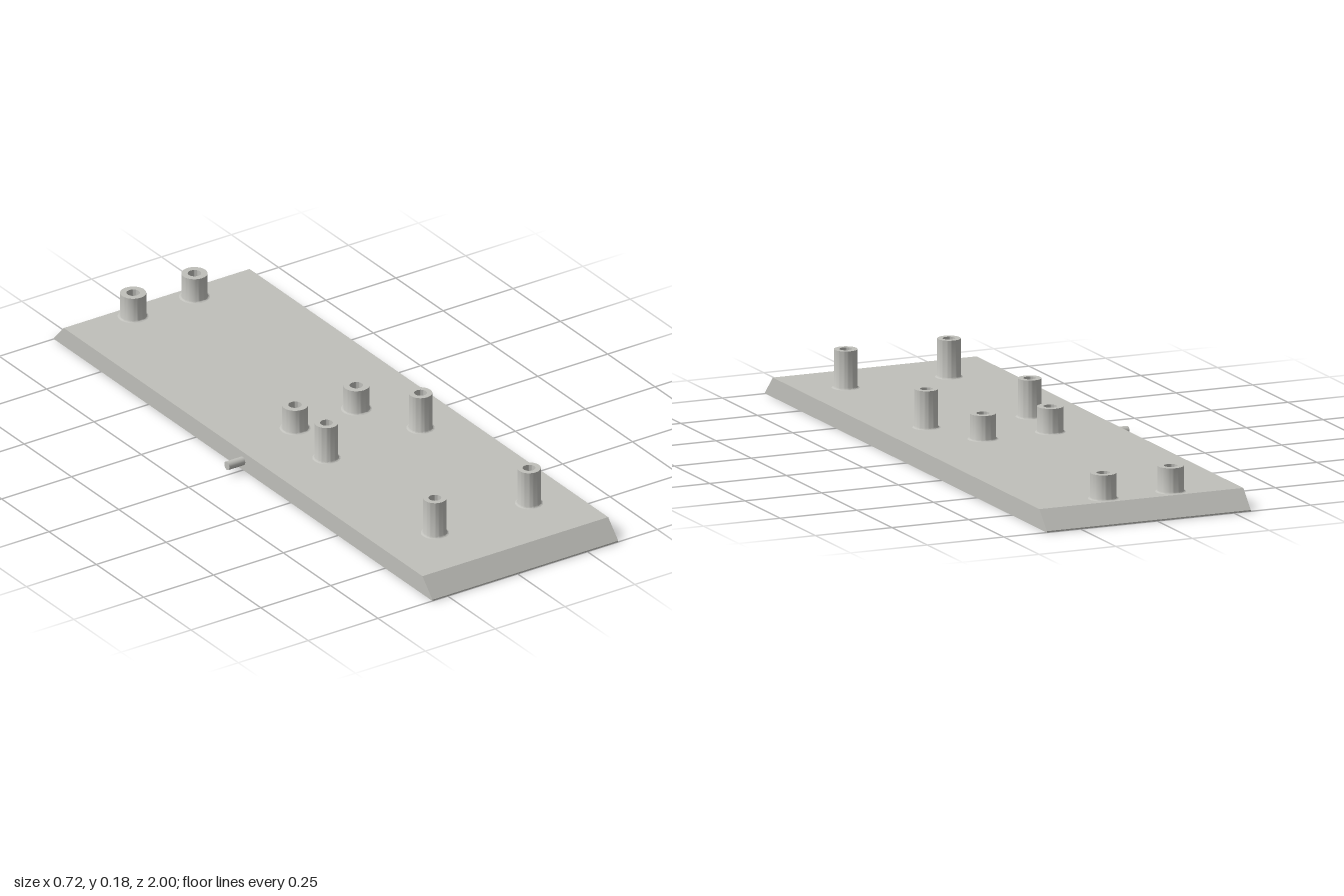
import * as THREE from 'three';
import { toCreasedNormals } from 'three/addons/utils/BufferGeometryUtils.js';

const LEFT = 0.36, RIGHT = -0.305, WIDTH = LEFT - RIGHT, MID = (LEFT + RIGHT) / 2;
const LIP = 0.004, TOP = 0.06, BEVEL_TOP = 0.947;
const HOLE_R = 0.01, HOLE_DEPTH = 0.02;

const lathe = (points, segments) => toCreasedNormals(
  new THREE.LatheGeometry(points.map(([x, y]) => new THREE.Vector2(x, y)), segments), 0.7);

// Hollow boss with a small fillet where it meets the plate
function bossGeometry(radius, bore, height) {
  const f = 0.007, points = [];
  for (let i = 0; i <= 4; i++) {
    const a = (i / 4) * Math.PI / 2;
    points.push([radius + f * (1 - Math.sin(a)), f * (1 - Math.cos(a))]);
  }
  points.push([radius, height], [bore, height], [bore, 0.001], [0, 0.001]);
  return lathe(points, 40);
}

export function createModel() {
  const group = new THREE.Group();
  const grey = new THREE.MeshStandardMaterial({ color: 0xc0c0bb });
  grey.name = 'warm grey';

  const add = (name, geometry, x = 0, y = 0, z = 0) => {
    const mesh = new THREE.Mesh(geometry, grey);
    mesh.name = name;
    mesh.position.set(x, y, z);
    group.add(mesh);
    return mesh;
  };

  // Plate body: box with both ends sloped, open below
  const body = new THREE.BoxGeometry(WIDTH, TOP - LIP, 2);
  const pos = body.attributes.position;
  for (let i = 0; i < pos.count; i++) {
    if (pos.getY(i) > 0) pos.setZ(i, Math.sign(pos.getZ(i)) * BEVEL_TOP);
  }
  const index = Array.from(body.index.array);
  index.splice(18, 6);
  body.setIndex(index);
  body.clearGroups();
  body.computeVertexNormals();
  add('plateBody', body, MID, (TOP + LIP) / 2, 0);

  // Thin bottom lip pierced by three screw holes at each end
  const holes = [];
  for (const z of [-0.96, 0.96]) {
    for (const dx of [-0.166, 0, 0.166]) holes.push([MID + dx, z]);
  }
  const outline = new THREE.Shape([
    new THREE.Vector2(RIGHT, -1), new THREE.Vector2(LEFT, -1),
    new THREE.Vector2(LEFT, 1), new THREE.Vector2(RIGHT, 1),
  ]);
  for (const [x, z] of holes) {
    outline.holes.push(new THREE.Path().absarc(x, -z, HOLE_R, 0, Math.PI * 2, true));
  }
  const lip = new THREE.ExtrudeGeometry(outline, { depth: LIP, bevelEnabled: false, curveSegments: 24 });
  lip.rotateX(-Math.PI / 2);
  add('bottomLip', lip);

  // Blind walls of the screw holes
  const sleeve = lathe([[0, HOLE_DEPTH], [HOLE_R, HOLE_DEPTH], [HOLE_R, LIP]], 24);
  for (const [x, z] of holes) add('screwHole', sleeve, x, 0, z);

  // Four tall narrow bosses at the front, four short wide ones at the back
  const tall = bossGeometry(0.035, 0.019, 0.117);
  for (const z of [0.167, 0.74]) {
    for (const x of [-0.12, 0.217]) add('tallBoss', tall, x, TOP, z);
  }
  const short = bossGeometry(0.039, 0.02, 0.078);
  for (const z of [-0.895, -0.04]) {
    for (const x of [-0.092, 0.1275]) add('shortBoss', short, x, TOP, z);
  }

  // Side pin
  const pin = new THREE.CylinderGeometry(0.0135, 0.0135, 0.067, 28);
  pin.rotateZ(Math.PI / 2);
  add('sidePin', pin, -0.3285, 0.03, -0.002);

  return group;
}
